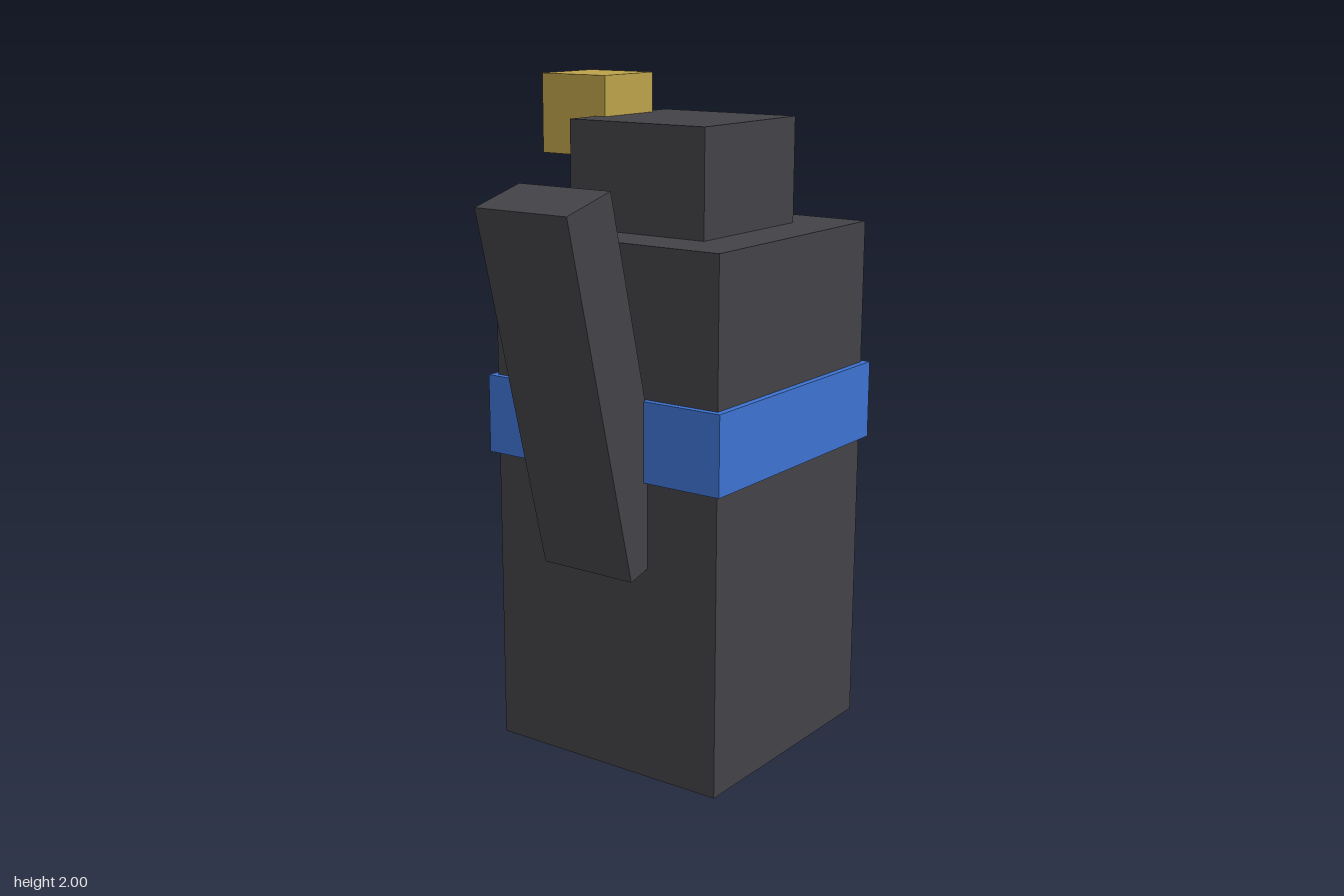
import * as THREE from 'three';

export function createModel() {
  const charcoal = new THREE.MeshStandardMaterial({ name: 'charcoal', color: 0x434247 });
  const blue = new THREE.MeshStandardMaterial({ name: 'blue', color: 0x3d72d0 });
  const gold = new THREE.MeshStandardMaterial({ name: 'gold', color: 0xbca24b });

  const model = new THREE.Group();
  const addBox = (name, material, size, position) => {
    const mesh = new THREE.Mesh(new THREE.BoxGeometry(...size), material);
    mesh.name = name;
    mesh.position.set(...position);
    model.add(mesh);
    return mesh;
  };

  // Stacked body, belt around it and smaller top block
  addBox('body', charcoal, [0.78, 1.57, 0.78], [0.01, 0.785, -0.164]);
  addBox('belt', blue, [0.82, 0.235, 0.82], [0.01, 1.022, -0.164]);
  addBox('topBlock', charcoal, [0.468, 0.312, 0.468], [0.01, 1.726, -0.164]);

  // Gold cube set into the upper right edge of the top block
  addBox('goldCube', gold, [0.234, 0.234, 0.234], [-0.304, 1.883, -0.164]);

  // Slab leaning forward from the front of the body
  const slab = addBox('leaningSlab', charcoal, [0.312, 1.094, 0.19], [0.01, 1.18, 0.347]);
  slab.rotation.x = 0.25;

  return model;
}
